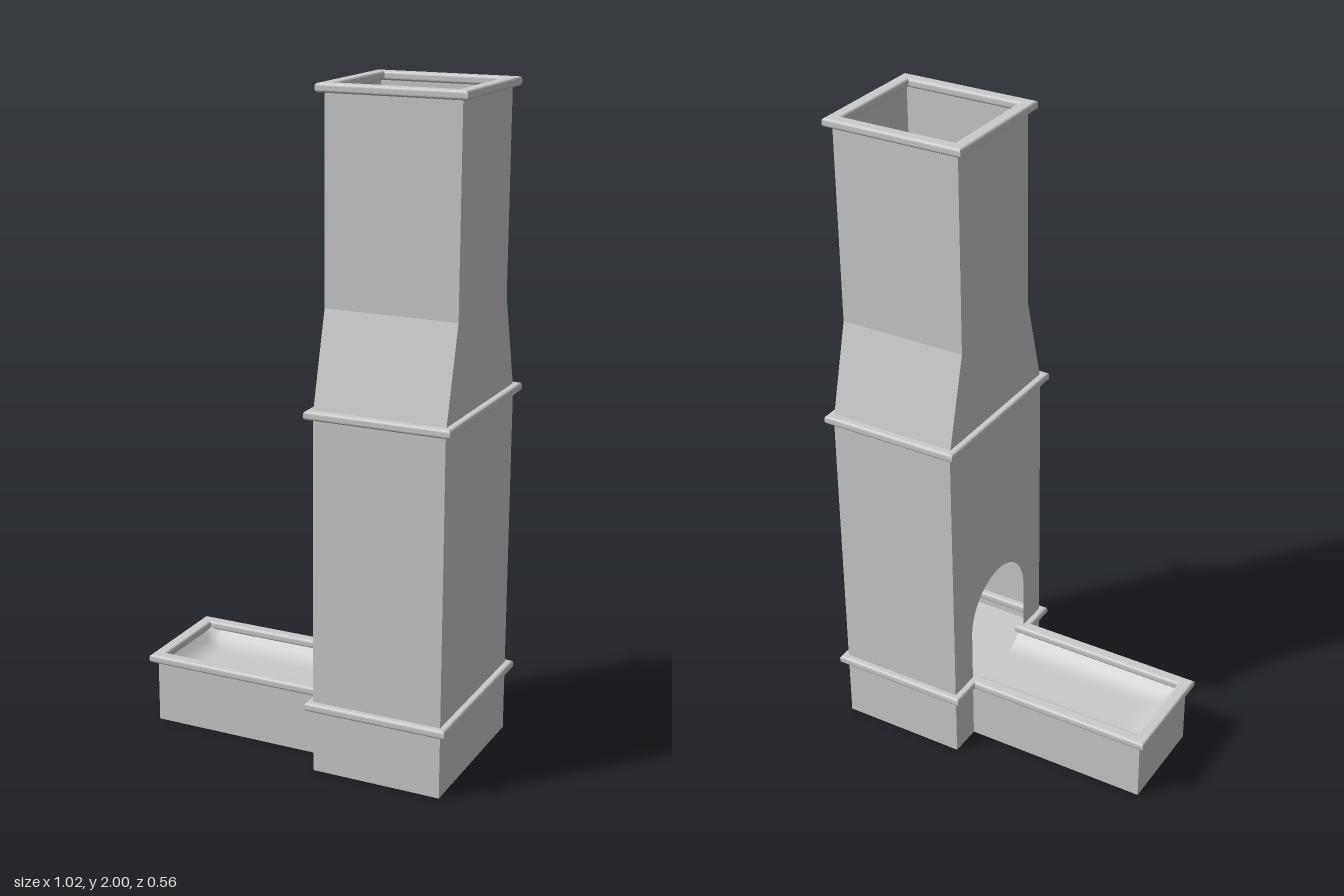
import * as THREE from 'three';

const mat = new THREE.MeshStandardMaterial({ color: 0xcccccc, side: THREE.DoubleSide });

// Main dimensions
const X0 = 0.09, X1 = 0.49, XEND = -0.495;   // shaft sides, trough end
const ZW = 0.258, ZN = 0.183, ZT = 0.157;    // wide shaft, narrow shaft, trough half depths
const PROFILE = [[0, ZW], [1.09, ZW], [1.38, ZN], [1.99, ZN]]; // height, half depth

// Plan outlines, counter-clockwise in (x, z)
const rect = (x0, x1, z) => [[x0, -z], [x1, -z], [x1, z], [x0, z]];
const PLAN = [[X0, -ZW], [X1, -ZW], [X1, ZW], [X0, ZW], [X0, ZT], [XEND, ZT], [XEND, -ZT], [X0, -ZT]];

function add(parent, name, geometry) {
  const mesh = new THREE.Mesh(geometry, mat);
  mesh.name = name;
  parent.add(mesh);
  return mesh;
}

// Offsets a right-angled outline outward by d
function offset(points, d) {
  const n = points.length;
  const normal = (a, b) => {
    const l = Math.hypot(b[0] - a[0], b[1] - a[1]);
    return [(b[1] - a[1]) / l, -(b[0] - a[0]) / l];
  };
  return points.map((p, i) => {
    const a = normal(points[(i + n - 1) % n], p), b = normal(p, points[(i + 1) % n]);
    return new THREE.Vector2(p[0] + d * (a[0] + b[0]), p[1] + d * (a[1] + b[1]));
  });
}

// Rounded moulding that follows an outline, centred at height y
function moulding(parent, name, outline, y) {
  const bevel = 0.008, depth = 0.01;
  const shape = new THREE.Shape(offset(outline, 0.02 - bevel));
  shape.holes.push(new THREE.Path(offset(outline, -0.02 + bevel)));
  const g = new THREE.ExtrudeGeometry(shape, {
    depth, bevelEnabled: true, bevelSize: bevel, bevelThickness: bevel, bevelSegments: 4,
  });
  g.translate(0, 0, -depth / 2).rotateX(Math.PI / 2);
  add(parent, name, g).position.y = y;
}

// Upright silhouette of the shaft in the (z, y) plane
function shaftSide(withArch) {
  const pts = [
    ...PROFILE.map(([y, z]) => new THREE.Vector2(z, y)),
    ...PROFILE.slice().reverse().map(([y, z]) => new THREE.Vector2(-z, y)),
  ];
  const shape = new THREE.Shape();
  shape.moveTo(-ZW, 0);
  if (withArch) {
    // Opening reaches the ground so trough and shaft connect
    shape.lineTo(-ZT, 0);
    shape.lineTo(-ZT, 0.38);
    shape.absarc(0, 0.38, ZT, Math.PI, 0, true);
    shape.lineTo(ZT, 0);
  }
  pts.slice(0, -1).forEach((p) => shape.lineTo(p.x, p.y));
  return new THREE.ShapeGeometry(shape, 24).rotateY(-Math.PI / 2);
}

// Front or back wall bent along the profile
function shaftFace(sign) {
  const g = new THREE.PlaneGeometry(X1 - X0, 1, 1, PROFILE.length - 1);
  if (sign < 0) g.rotateY(Math.PI);
  const p = g.attributes.position;
  for (let i = 0; i < p.count; i++) {
    const [y, z] = PROFILE[PROFILE.length - 1 - Math.floor(i / 2)];
    p.setXYZ(i, p.getX(i) + (X0 + X1) / 2, y, sign * z);
  }
  const flat = g.toNonIndexed();
  flat.computeVertexNormals();
  return flat;
}

// Shallow dished tray that rises to the rim on three sides
function trayGeometry() {
  const x0 = XEND + 0.012, x1 = X0 + 0.01, z = ZT - 0.012;
  const g = new THREE.PlaneGeometry(x1 - x0, 2 * z, 24, 16).rotateX(-Math.PI / 2);
  g.translate((x0 + x1) / 2, 0, 0);
  const p = g.attributes.position;
  for (let i = 0; i < p.count; i++) {
    const edge = Math.min(p.getX(i) - x0, z - Math.abs(p.getZ(i)));
    const t = Math.min(Math.max(edge / 0.07, 0), 1);
    p.setY(i, 0.16 + 0.04 * (1 - t) ** 2);
  }
  g.computeVertexNormals();
  return g;
}

export function createModel() {
  const model = new THREE.Group();
  model.name = 'chimneyWithTrough';

  // Shaft walls
  const shaft = new THREE.Group();
  shaft.name = 'shaft';
  model.add(shaft);
  add(shaft, 'archedWall', shaftSide(true)).position.x = X0;
  add(shaft, 'plainWall', shaftSide(false).rotateY(Math.PI)).position.x = X1;
  add(shaft, 'frontWall', shaftFace(1));
  add(shaft, 'backWall', shaftFace(-1));

  // Floor inside the shaft
  const floor = new THREE.PlaneGeometry(X1 - X0, 2 * ZW).rotateX(-Math.PI / 2);
  add(shaft, 'shaftFloor', floor).position.set((X0 + X1) / 2, 0.16, 0);

  // Trough walls, open underneath
  const trough = new THREE.Group();
  trough.name = 'trough';
  model.add(trough);
  const h = 0.205, length = X0 - XEND;
  for (const s of [1, -1]) {
    const side = new THREE.PlaneGeometry(length, h).rotateY(s > 0 ? 0 : Math.PI);
    add(trough, s > 0 ? 'troughFront' : 'troughBack', side)
      .position.set((X0 + XEND) / 2, h / 2, s * ZT);
  }
  const end = new THREE.PlaneGeometry(2 * ZT, h).rotateY(-Math.PI / 2);
  add(trough, 'troughEnd', end).position.set(XEND, h / 2, 0);
  add(trough, 'tray', trayGeometry());

  // Mouldings
  moulding(model, 'baseMoulding', PLAN, 0.207);
  moulding(model, 'middleMoulding', rect(X0, X1, ZW), 1.092);
  moulding(model, 'topMoulding', rect(X0, X1, ZN), 1.987);

  return model;
}
